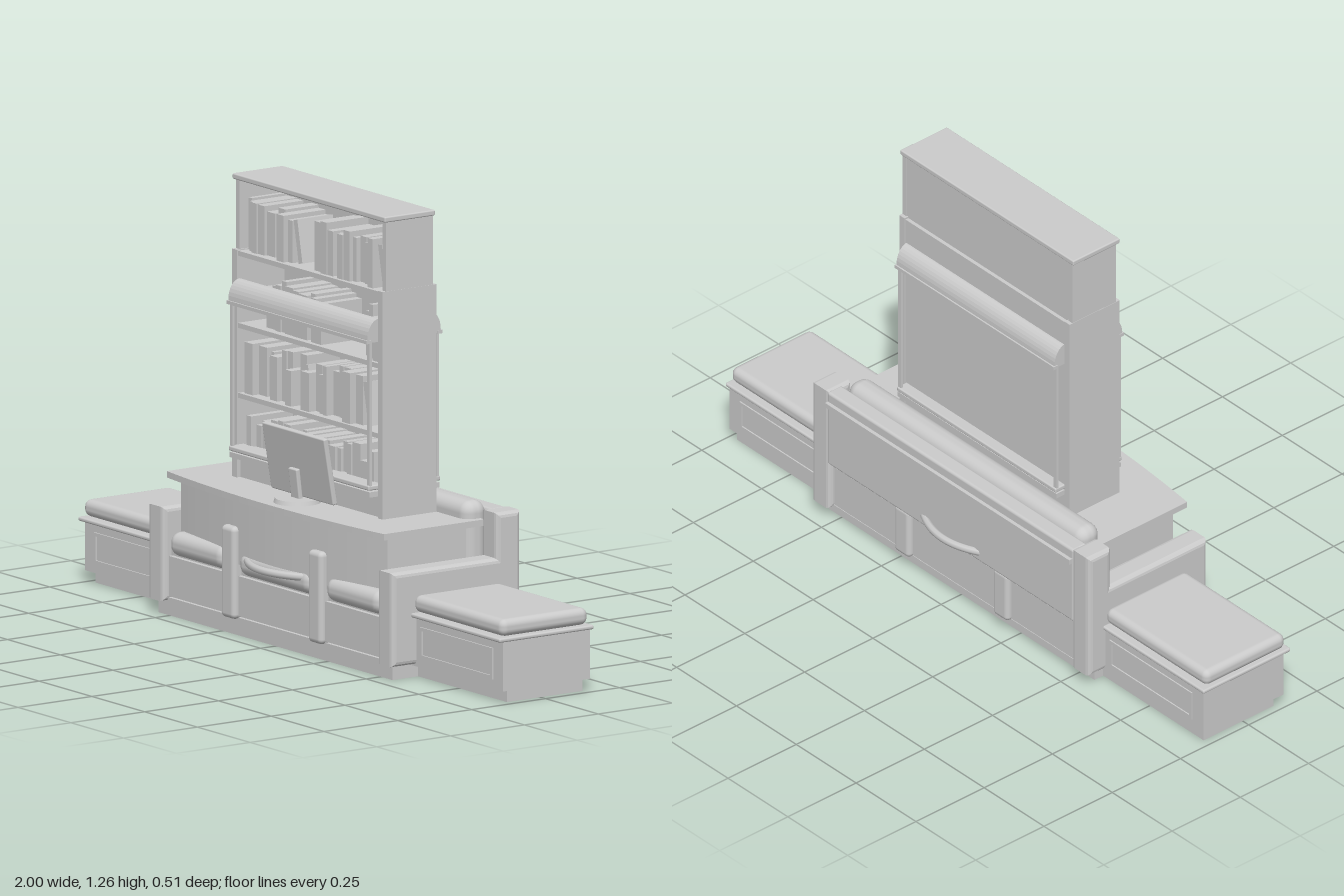
import * as THREE from 'three';
import { RoundedBoxGeometry } from 'three/addons/geometries/RoundedBoxGeometry.js';

const mat = new THREE.MeshStandardMaterial({ color: 0xcccccc });

export function createModel() {
  const root = new THREE.Group();
  let parent = root;

  const add = (name, geo) => {
    const m = new THREE.Mesh(geo, mat);
    m.name = name;
    parent.add(m);
    return m;
  };
  const section = (name) => {
    parent = new THREE.Group();
    parent.name = name;
    root.add(parent);
  };
  // Boxes given by their limits on each axis; r rounds the edges
  const box = (name, x0, x1, y0, y1, z0, z1, r = 0) => {
    const s = [x1 - x0, y1 - y0, z1 - z0];
    const m = add(name, r ? new RoundedBoxGeometry(...s, 3, r) : new THREE.BoxGeometry(...s));
    m.position.set((x0 + x1) / 2, (y0 + y1) / 2, (z0 + z1) / 2);
    return m;
  };
  // Profile of [z, y] points swept along x and centred on cx
  const sweepX = (name, pts, width, cx, bevel = 0) => {
    const shape = new THREE.Shape(pts.map(([z, y]) => new THREE.Vector2(z, y)));
    const g = new THREE.ExtrudeGeometry(shape, {
      depth: width - 2 * bevel, bevelEnabled: bevel > 0, bevelSize: bevel,
      bevelThickness: bevel, bevelOffset: -bevel, bevelSegments: 3,
    });
    g.rotateY(-Math.PI / 2);
    g.translate(cx + width / 2 - bevel, 0, 0);
    return add(name, g);
  };
  // Horizontal slab with a bowed front edge
  const bowed = (name, hw, zBack, zEnd, zMid, y0, y1) => {
    const s = new THREE.Shape();
    s.moveTo(-hw, zBack);
    s.lineTo(hw, zBack);
    s.lineTo(hw, zEnd);
    s.quadraticCurveTo(0, 2 * zMid - zEnd, -hw, zEnd);
    const g = new THREE.ExtrudeGeometry(s, { depth: y1 - y0, bevelEnabled: false, curveSegments: 24 });
    g.rotateX(Math.PI / 2);
    g.translate(0, y1, 0);
    return add(name, g);
  };

  // Low side benches with cushions
  for (const s of [-1, 1]) {
    section(s > 0 ? 'leftBench' : 'rightBench');
    const b = (n, xa, xb, ...rest) => box(n, Math.min(s * xa, s * xb), Math.max(s * xa, s * xb), ...rest);
    b('benchPlinth', 0.5, 0.975, 0, 0.036, -0.143, 0.113);
    b('benchBody', 0.5, 0.99, 0.035, 0.176, -0.157, 0.137);
    b('benchLip', 0.5, 1, 0.175, 0.187, -0.165, 0.155, 0.005);
    b('benchCushion', 0.57, 0.995, 0.188, 0.236, -0.152, 0.143, 0.02);
    for (const z of [0.137, -0.157]) {
      b('panelRailTop', 0.6, 0.945, 0.14, 0.15, z - 0.004, z + 0.004);
      b('panelRailBottom', 0.6, 0.945, 0.062, 0.072, z - 0.004, z + 0.004);
      b('panelStileInner', 0.6, 0.61, 0.062, 0.15, z - 0.004, z + 0.004);
      b('panelStileOuter', 0.935, 0.945, 0.062, 0.15, z - 0.004, z + 0.004);
    }
  }

  // Sofa-like central base
  section('base');
  box('plinth', -0.555, 0.555, 0, 0.042, -0.175, 0.2);
  box('baseBody', -0.52, 0.52, 0.04, 0.2, -0.19, 0.19);
  const arm = [[0.218, 0.04], [0.218, 0.305], [-0.135, 0.305], [-0.135, 0.432], [-0.217, 0.432], [-0.217, 0.04]];
  for (const s of [-1, 1]) sweepX('arm', [...arm].reverse(), 0.075, s * 0.543, 0.014);
  box('backPanel', -0.515, 0.515, 0.19, 0.43, -0.217, -0.165, 0.008);
  box('backStrip', -0.51, 0.51, 0.385, 0.4, -0.228, -0.21);
  box('backCushion', -0.495, 0.495, 0.2, 0.452, -0.17, -0.092, 0.034);
  box('frontSill', -0.51, 0.51, 0.038, 0.05, -0.2, 0.2);

  // Drawer fronts, cushion rolls and straps
  const bays = [[-0.5, -0.24], [-0.172, 0.172], [0.24, 0.5]];
  for (const [a, b] of bays) {
    box('frontDrawer', a, b, 0.055, 0.168, 0.18, 0.203);
    box('backDrawer', a, b, 0.055, 0.18, -0.203, -0.18);
    box('cushionRoll', a, b, 0.17, 0.238, 0.05, 0.21, 0.03);
  }
  for (const x of [-0.206, 0.206]) {
    box('frontStrap', x - 0.032, x + 0.032, 0.045, 0.305, 0.12, 0.218, 0.014);
    box('backStrap', x - 0.032, x + 0.032, 0.045, 0.2, -0.217, -0.16, 0.014);
  }

  // Curved pull handles on front and back
  for (const s of [-1, 1]) {
    const curve = new THREE.QuadraticBezierCurve3(
      new THREE.Vector3(-0.14, 0.217, s * 0.195),
      new THREE.Vector3(0, 0.217, s * 0.29),
      new THREE.Vector3(0.14, 0.217, s * 0.195));
    add(s > 0 ? 'frontHandle' : 'backHandle', new THREE.TubeGeometry(curve, 24, 0.011, 8));
  }

  // Desk with bowed front
  section('desk');
  bowed('deskApron', 0.49, -0.095, 0.17, 0.205, 0.2, 0.387);
  bowed('deskTop', 0.515, -0.14, 0.2, 0.233, 0.386, 0.404);

  // Bookcase carcass
  section('bookcase');
  for (const s of [-1, 1]) {
    box('sideUpper', s * 0.347 - 0.008, s * 0.347 + 0.008, 1.04, 1.242, -0.08, 0.08);
    box('sideLower', s * 0.345 - 0.011, s * 0.345 + 0.011, 0.4, 1.045, -0.091, 0.092);
  }
  box('cap', -0.362, 0.362, 1.24, 1.256, -0.083, 0.088, 0.004);
  box('backUpper', -0.34, 0.34, 1.04, 1.242, -0.077, -0.065);
  box('backLower', -0.34, 0.34, 0.4, 1.04, -0.088, -0.07);
  for (const y of [1.035, 0.832, 0.635]) box('shelf', -0.336, 0.336, y - 0.007, y + 0.007, -0.075, 0.088);
  box('shelfBase', -0.336, 0.336, 0.4, 0.465, -0.075, 0.08);

  // Awnings, posts and ledges on both faces
  for (const s of [-1, 1]) {
    const pts = [[0.085, 0.9]];
    for (let i = 0; i <= 8; i++) {
      const t = (i / 8) * Math.PI / 2;
      pts.push([0.085 + 0.039 * Math.cos(t), 0.91 + 0.055 * Math.sin(t)]);
    }
    pts.splice(1, 0, [0.124, 0.9]);
    sweepX('awning', s > 0 ? pts : pts.map(([z, y]) => [-z, y]), 0.66, 0);
    box('awningLip', -0.332, 0.332, 0.898, 0.908, s * 0.121 - 0.008, s * 0.121 + 0.008);
    for (const x of [-0.325, 0.325]) box('post', x - 0.006, x + 0.006, 0.49, 0.9, s * 0.114 - 0.004, s * 0.114 + 0.004);
    box('ledge', -0.332, 0.332, 0.484, 0.498, Math.min(s * 0.07, s * 0.122), Math.max(s * 0.07, s * 0.122), 0.004);
    box('ledgeTrim', -0.332, 0.332, 0.465, 0.48, Math.min(s * 0.07, s * 0.118), Math.max(s * 0.07, s * 0.118));
  }
  box('lowestShelf', -0.336, 0.336, 0.465, 0.495, -0.075, 0.08);

  // Rows of books, some leaning
  section('books');
  let seed = 7;
  const rnd = () => (seed = (seed * 16807) % 2147483647) / 2147483647;
  const rows = [
    [1.042, 0.115, 0.15, [[-0.33, -0.11], [0, 0.29]]],
    [0.839, 0.11, 0.148, [[-0.24, 0.04], [0.22, 0.32]]],
    [0.642, 0.1, 0.15, [[-0.32, -0.06], [-0.05, 0.22]]],
    [0.495, 0.05, 0.1, [[-0.31, -0.1], [-0.08, 0.31]]],
  ];
  rows.forEach(([y, hMin, hMax, spans], r) => {
    for (const [a, b] of spans) {
      let x = a;
      while (x < b - 0.01) {
        const w = Math.min(0.016 + rnd() * 0.026, b - x);
        const h = hMin + rnd() * (hMax - hMin);
        box('book', x, x + w - 0.001, y, y + h, -0.065, 0.045 + rnd() * 0.035);
        x += w;
      }
      if (r % 2 === 0) {
        const lean = box('leaningBook', b + 0.012, b + 0.03, y + 0.003, y + 0.125, -0.06, 0.06);
        lean.rotation.z = 0.2;
      }
    }
  });

  // Monitor seen from behind, leaning forward over its round foot
  section('monitor');
  const screen = box('screen', -0.125, 0.17, 0.415, 0.607, 0.126, 0.142, 0.004);
  screen.rotation.x = 0.17;
  const neck = box('neck', 0.004, 0.044, 0.41, 0.5, 0.142, 0.156, 0.004);
  neck.rotation.x = 0.12;
  const foot = add('foot', new THREE.CylinderGeometry(0.062, 0.066, 0.012, 32));
  foot.position.set(0.024, 0.41, 0.143);

  return root;
}
